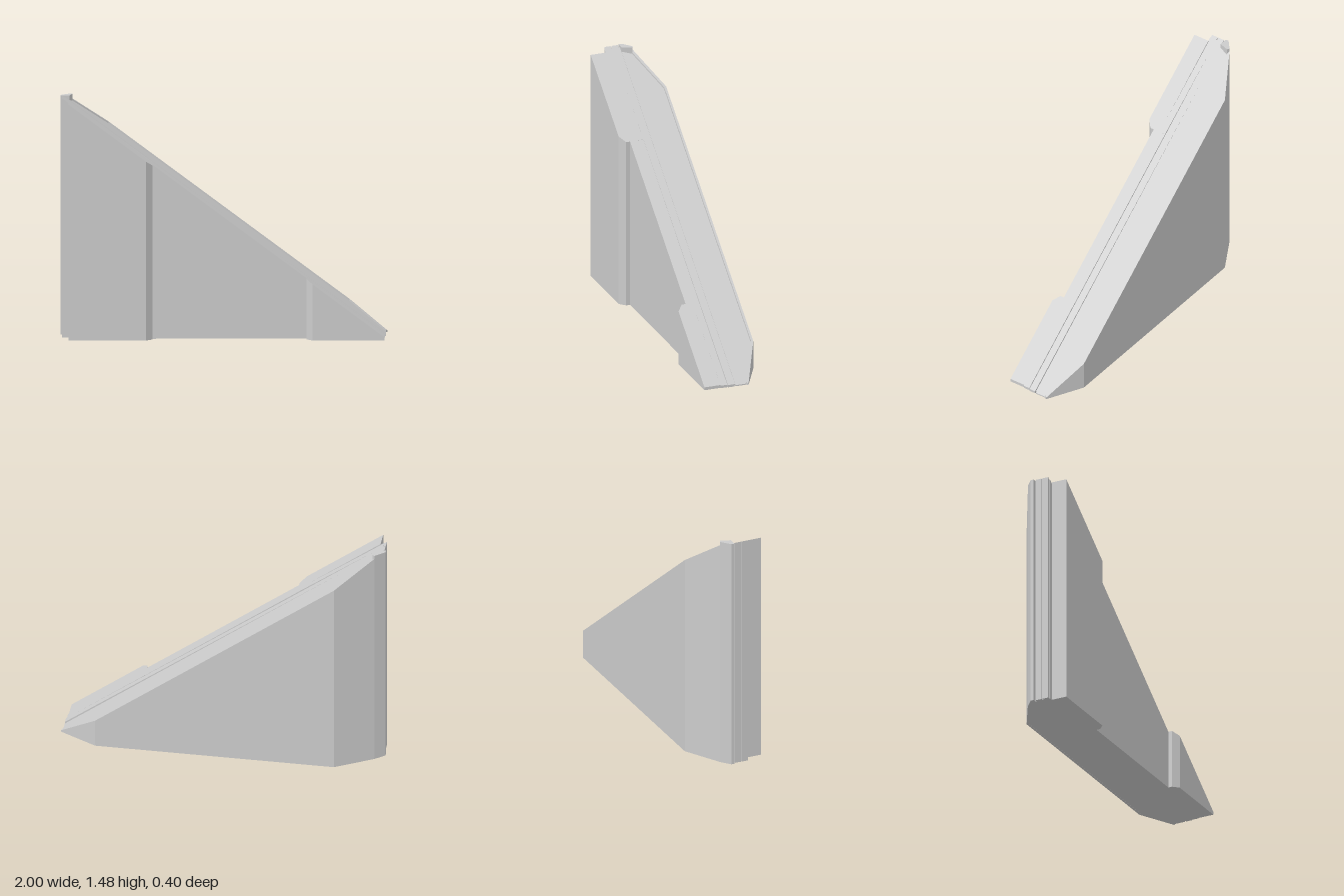
import * as THREE from 'three';

const material = new THREE.MeshStandardMaterial({ color: 0xcccccc, flatShading: true });
const slope = (x) => 0.75 - 0.75 * x;

// Upright prism over an [x, z] plan; its top follows the slope, or stays level when a height is given
function prism(name, plan, lift = 0, height = null) {
  const shape = new THREE.Shape(plan.map(([x, z]) => new THREE.Vector2(x, -z)));
  const geo = new THREE.ExtrudeGeometry(shape, { depth: 1, bevelEnabled: false });
  geo.rotateX(-Math.PI / 2);
  const p = geo.attributes.position;
  for (let i = 0; i < p.count; i++) {
    const top = height ?? Math.min(1.483, Math.max(0.004, slope(p.getX(i)) + lift));
    p.setY(i, p.getY(i) > 0.5 ? top : 0);
  }
  geo.computeVertexNormals();
  const mesh = new THREE.Mesh(geo, material);
  mesh.name = name;
  return mesh;
}

const rect = (x0, x1, z0, z1) => [[x0, z0], [x1, z0], [x1, z1], [x0, z1]];

export function createModel() {
  const group = new THREE.Group();
  group.name = 'slopedWallPanel';

  // Back slab with chamfered ends, and the thin raised skin around its rear
  group.add(prism('backSlab', [
    [-0.95, 0], [0.985, 0], [0.985, -0.075], [0.76, -0.185], [-0.705, -0.185], [-0.95, -0.055],
  ], -0.004));
  group.add(prism('backSkin', [
    [-0.94, -0.07], [-0.71, -0.2], [0.765, -0.2], [0.995, -0.08],
    [0.985, -0.068], [0.76, -0.186], [-0.705, -0.186], [-0.935, -0.055],
  ], 0.006));

  // Upright post at the tall end, level on top
  group.add(prism('backPost', [
    [-1, 0], [-1, -0.02], [-0.94, -0.07], [-0.925, -0.062], [-0.945, 0],
  ], 0, 1.483));

  // Recessed core behind the stepped layers leaves narrow grooves
  group.add(prism('core', rect(-0.975, 0.975, -0.005, 0.1), -0.008));

  // Stepped layers
  group.add(prism('middleLayer', rect(-0.99, 0.985, 0.008, 0.05), 0.004));
  const pillars = [[-0.99, -0.44, 'tall'], [0.5, 0.98, 'short']];
  for (const [x0, x1, kind] of pillars) {
    group.add(prism(kind + 'PillarBacking', rect(x0, x1, 0.055, 0.096), 0.001));
  }

  // Front face: two pillars with bevelled inner corners, and the set-back panel between
  group.add(prism('tallPillar', [
    [-0.95, 0.096], [-0.44, 0.096], [-0.44, 0.165], [-0.478, 0.2], [-0.95, 0.2],
  ]));
  group.add(prism('shortPillar', [
    [0.5, 0.096], [0.975, 0.096], [0.975, 0.2], [0.535, 0.2], [0.5, 0.165],
  ]));
  group.add(prism('centrePanel', rect(-0.44, 0.5, 0.055, 0.14)));

  return group;
}
